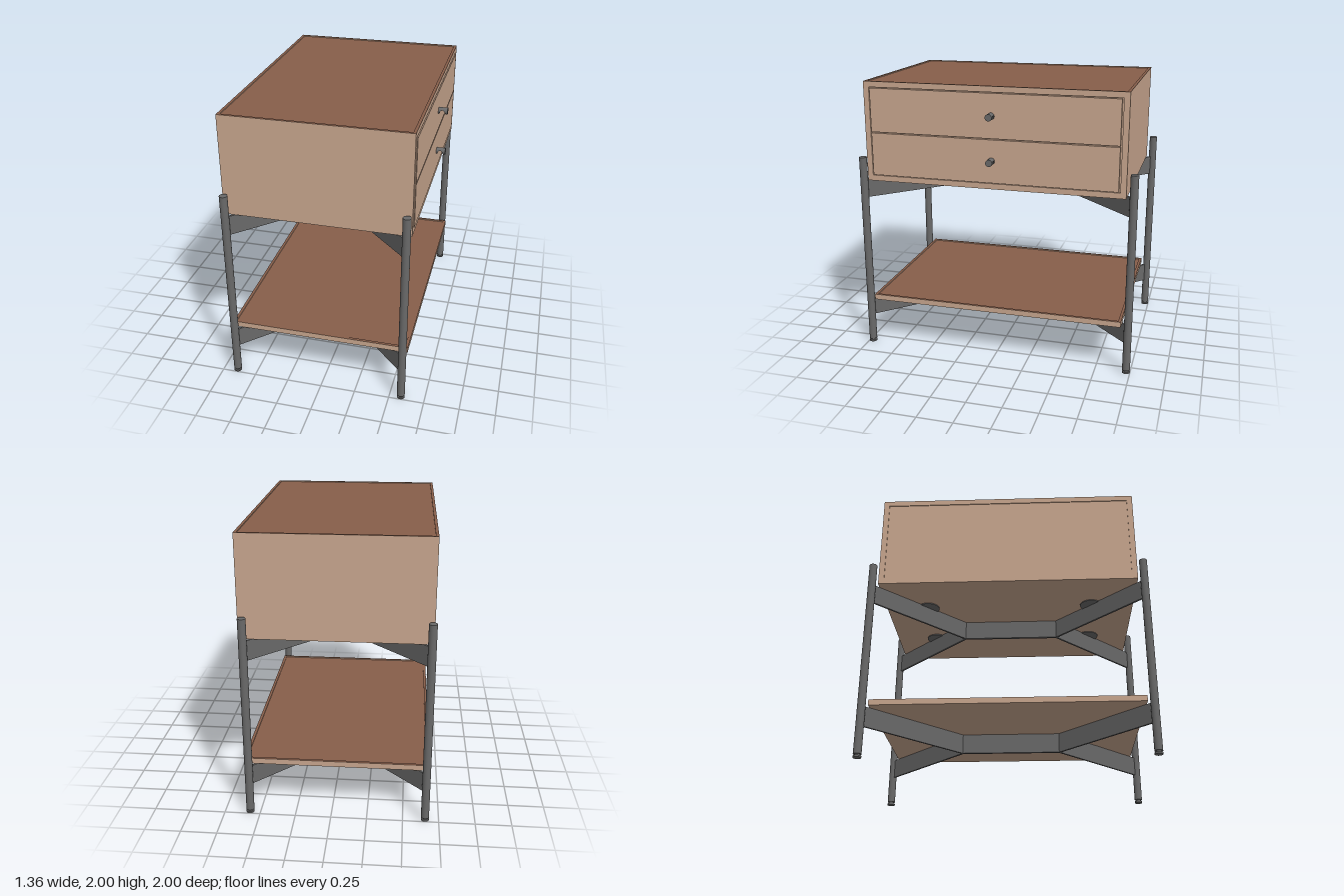
import * as THREE from 'three';

export function createModel() {
  const tan = new THREE.MeshStandardMaterial({ color: 0xc9a78f });
  tan.name = 'light wood';
  const brown = new THREE.MeshStandardMaterial({ color: 0x875e4a });
  brown.name = 'brown top surface';
  const steel = new THREE.MeshStandardMaterial({ color: 0x696969 });
  steel.name = 'dark steel';
  const topped = [tan, tan, brown, tan, tan, tan];

  const model = new THREE.Group();
  model.name = 'sideTable';

  const group = (name) => {
    const g = new THREE.Group();
    g.name = name;
    model.add(g);
    return g;
  };
  const add = (parent, name, geometry, material) => {
    const mesh = new THREE.Mesh(geometry, material);
    mesh.name = name;
    parent.add(mesh);
    return mesh;
  };
  // Box given by its minimum and maximum corners
  const block = (parent, name, material, [x0, y0, z0], [x1, y1, z1]) =>
    add(parent, name, new THREE.BoxGeometry(x1 - x0, y1 - y0, z1 - z0), material)
      .position.set((x0 + x1) / 2, (y0 + y1) / 2, (z0 + z1) / 2);

  const X0 = -0.67, X1 = 0.61, Z = 0.925;

  // Board with a shallow raised rim around a brown surface
  const tray = (name, y) => {
    const g = group(name);
    const rim = 0.02, top = y + 0.04, low = top - 0.006;
    block(g, 'board', topped, [X0, y, -Z], [X1, low, Z]);
    block(g, 'rimLeft', topped, [X1 - rim, low, -Z], [X1, top, Z]);
    block(g, 'rimRight', topped, [X0, low, -Z], [X0 + rim, top, Z]);
    block(g, 'rimBack', topped, [X0 + rim, low, -Z], [X1 - rim, top, -Z + rim]);
    block(g, 'rimFront', topped, [X0 + rim, low, Z - rim], [X1 - rim, top, Z]);
  };
  tray('tableTop', 1.96);
  tray('lowerShelf', 0.36);

  // Cabinet body
  const cabinet = group('cabinet');
  block(cabinet, 'bottomBoard', tan, [X0, 1.29, -Z], [X1, 1.33, Z]);
  for (const s of [-1, 1]) {
    const a = s * 0.885, b = s * Z;
    block(cabinet, 'sidePanel', tan, [X0, 1.33, Math.min(a, b)], [X1, 1.96, Math.max(a, b)]);
  }
  block(cabinet, 'core', tan, [X0 + 0.006, 1.33, -0.885], [0.59, 1.96, 0.885]);

  // Round knob along x, its underside hollowed into a finger hook
  const knob = (parent, y) => {
    const length = 0.065, r = 0.024;
    const geo = new THREE.CylinderGeometry(r, r, length, 24, 26);
    geo.rotateZ(-Math.PI / 2);
    const p = geo.attributes.position;
    for (let i = 0; i < p.count; i++) {
      const u = (p.getX(i) + 0.004) / 0.02;
      if (Math.abs(u) < 1) {
        const floor = -r + 0.034 * Math.sqrt(1 - u * u);
        p.setY(i, Math.max(p.getY(i), floor));
      }
    }
    geo.computeVertexNormals();
    add(parent, 'knob', geo, steel).position.set(0.615 + length / 2, y, 0);
  };

  // Two drawers, separated by thin gaps
  for (const [y0, y1, knobY] of [[1.335, 1.638, 1.49], [1.646, 1.954, 1.80]]) {
    const drawer = group('drawer');
    block(drawer, 'drawerFront', tan, [0.58, y0, -0.874], [0.615, y1, 0.878]);
    knob(drawer, knobY);
  }

  // Legs with adjustable feet
  const legSpots = [[-0.655, -0.972], [0.572, -0.972], [-0.645, 0.972], [0.582, 0.972]];
  for (const [x, z] of legSpots) {
    const leg = group('leg');
    leg.position.set(x, 0, z);
    const rod = (name, r, y0, y1) =>
      add(leg, name, new THREE.CylinderGeometry(r, r, y1 - y0, 32), steel)
        .position.y = (y0 + y1) / 2;
    rod('post', 0.028, 0.024, 1.45);
    rod('footNeck', 0.018, 0.012, 0.024);
    rod('footPad', 0.028, 0, 0.012);
  }

  // Upright flat bar between two points in plan
  const bar = (parent, name, [ax, az], [bx, bz], y, thick) => {
    const length = Math.hypot(bx - ax, bz - az);
    const m = add(parent, name, new THREE.BoxGeometry(length, 0.14, thick), steel);
    m.position.set((ax + bx) / 2, y + 0.07, (az + bz) / 2);
    m.rotation.y = -Math.atan2(bz - az, bx - ax);
  };

  // Forked frames under the cabinet and the shelf
  const midX = -0.035, forkZ = 0.35;
  for (const y of [1.15, 0.22]) {
    const frame = group('supportFrame');
    bar(frame, 'spine', [midX, -forkZ], [midX, forkZ], y, 0.02);
    for (const [x, z] of legSpots)
      bar(frame, 'arm', [midX, Math.sign(z) * forkZ], [x, z], y, 0.014);
  }

  // Mounting discs where the upper arms meet the cabinet
  const mounts = group('mountingDiscs');
  for (const sx of [-1, 1])
    for (const sz of [-1, 1])
      add(mounts, 'disc', new THREE.CylinderGeometry(0.08, 0.08, 0.006, 32), steel)
        .position.set(midX + sx * 0.26, 1.287, sz * 0.61);

  return model;
}
